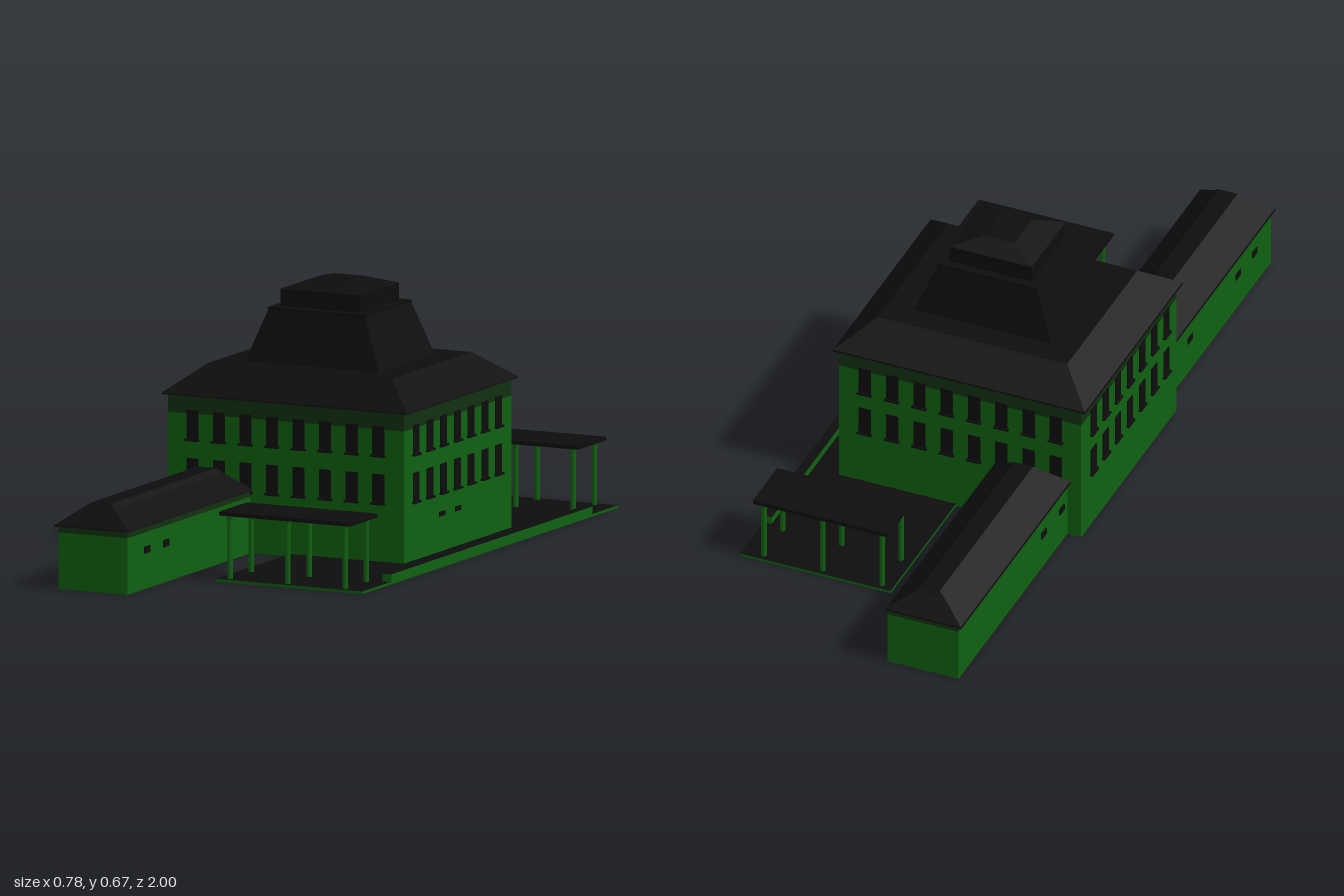
import * as THREE from 'three';

const green = new THREE.MeshStandardMaterial({ color: 0x0f6010, side: THREE.DoubleSide });
green.name = 'green wall';
const dark = new THREE.MeshStandardMaterial({ color: 0x0d0d0d });
dark.name = 'black roof';
const frieze = new THREE.MeshStandardMaterial({ color: 0x10300f, side: THREE.DoubleSide });
frieze.name = 'dark green frieze';

// Stack of rectangular sections [y, x0, x1, z0, z1], optionally closed at each end
function loft(sections, bottom = true, top = true) {
  const rings = sections.map(([y, x0, x1, z0, z1]) =>
    [[x0, y, z1], [x1, y, z1], [x1, y, z0], [x0, y, z0]]);
  const pos = [];
  const quad = (a, b, c, d) => pos.push(...a, ...b, ...c, ...a, ...c, ...d);
  for (let i = 0; i + 1 < rings.length; i++) {
    const lo = rings[i], hi = rings[i + 1];
    for (let k = 0; k < 4; k++) {
      const n = (k + 1) % 4;
      quad(lo[k], lo[n], hi[n], hi[k]);
    }
  }
  const [a, b, c, d] = rings[0];
  if (bottom) quad(d, c, b, a);
  if (top) quad(...rings[rings.length - 1]);
  const g = new THREE.BufferGeometry();
  g.setAttribute('position', new THREE.Float32BufferAttribute(pos, 3));
  g.computeVertexNormals();
  return g;
}

function add(parent, name, geometry, material, x = 0, y = 0, z = 0) {
  const m = new THREE.Mesh(geometry, material);
  m.name = name;
  m.position.set(x, y, z);
  parent.add(m);
  return m;
}

function box(parent, name, material, w, h, d, x, y, z) {
  return add(parent, name, new THREE.BoxGeometry(w, h, d), material, x, y, z);
}

// Centred section of the main block
const cx = -0.04;
const sec = (y, hx, hz) => [y, cx - hx, cx + hx, -hz, hz];

function mainBlock() {
  const g = new THREE.Group();
  g.name = 'mainBuilding';
  add(g, 'mainWalls', loft([sec(0, 0.333, 0.302), sec(0.345, 0.333, 0.302)], false, false), green);
  add(g, 'mainFrieze', loft([sec(0.345, 0.333, 0.302), sec(0.392, 0.333, 0.302)], false, false), frieze);
  add(g, 'mainRoof', loft([sec(0.39, 0.348, 0.312), sec(0.395, 0.346, 0.31), sec(0.463, 0.26, 0.223)]), dark);
  add(g, 'roofTower', loft([sec(0.46, 0.19, 0.157), sec(0.595, 0.137, 0.13), sec(0.602, 0.137, 0.13)]), dark);
  add(g, 'roofLantern', loft([sec(0.6, 0.113, 0.108), sec(0.647, 0.113, 0.108), sec(0.667, 0.042, 0.055)]), dark);

  // Two rows of windows with sills on all four sides
  for (const [y0, y1] of [[0.155, 0.231], [0.277, 0.354]]) {
    const h = y1 - y0, y = (y0 + y1) / 2;
    for (const s of [-1, 1]) {
      for (let i = 0; i < 8; i++) {
        const x = -0.304 + i * 0.075;
        box(g, 'window', dark, 0.033, h, 0.006, x, y, s * 0.302);
        box(g, 'windowSill', dark, 0.04, 0.005, 0.012, x, y0, s * 0.304);
      }
      for (let i = 0; i < 7; i++) {
        const z = (i - 3) * 0.077 + 0.005;
        box(g, 'window', dark, 0.006, h, 0.033, cx + s * 0.333, y, z);
        box(g, 'windowSill', dark, 0.012, 0.005, 0.04, cx + s * 0.335, y0, z);
      }
    }
  }
  // Small vents low on the platform side
  for (const z of [0.0, 0.09]) box(g, 'lowVent', dark, 0.006, 0.012, 0.03, cx + 0.333, 0.103, z);
  return g;
}

function wing(s) {
  const g = new THREE.Group();
  g.name = s > 0 ? 'frontWing' : 'rearWing';
  const span = (a, b) => (s > 0 ? [a, b] : [-b, -a]);
  const wall = [-0.335, -0.14, ...span(0.3, 0.993)];
  add(g, 'wingWalls', loft([[0, ...wall], [0.145, ...wall]], false, false), green);
  add(g, 'wingFrieze', loft([[0.145, ...wall], [0.163, ...wall]], false, false), frieze);
  add(g, 'wingRoof', loft([
    [0.16, -0.345, -0.135, ...span(0.3, 1)],
    [0.165, -0.343, -0.137, ...span(0.302, 0.998)],
    [0.207, -0.284, -0.196, ...span(0.342, 0.958)],
    [0.221, -0.263, -0.211, ...span(0.354, 0.946)],
  ]), dark);
  // Small windows on both long sides
  const inner = s > 0 ? [0.885, 0.78] : [-0.515, -0.62];
  const outer = s > 0 ? [0.885, 0.78, 0.475, 0.37] : [-0.34, -0.455];
  for (const z of inner) box(g, 'wingWindow', dark, 0.006, 0.018, 0.03, -0.14, 0.1, z);
  for (const z of outer) box(g, 'wingWindow', dark, 0.006, 0.018, 0.03, -0.335, 0.1, z);
  return g;
}

function canopy(s) {
  const g = new THREE.Group();
  g.name = s > 0 ? 'frontCanopy' : 'rearCanopy';
  box(g, 'canopyRoof', dark, 0.37, 0.01, 0.155, 0.165, 0.175, s * 0.64);
  const shaft = new THREE.CylinderGeometry(0.007, 0.007, 0.166, 10);
  const collar = new THREE.CylinderGeometry(0.01, 0.008, 0.012, 10);
  for (const x of [0.002, 0.165, 0.327]) {
    for (const z of [0.58, 0.7]) {
      add(g, 'post', shaft, green, x, 0.088, s * z);
      add(g, 'postCapital', collar, green, x, 0.164, s * z);
    }
  }
  return g;
}

// Slab with green sides and black top and bottom
function slab(parent, name, w, h, d, x, y, z) {
  const m = box(parent, name, green, w, h, d, x, y, z);
  m.material = [green, green, dark, dark, green, green];
}

export function createModel() {
  const model = new THREE.Group();
  model.name = 'stationBuilding';
  model.add(mainBlock());
  for (const s of [-1, 1]) model.add(wing(s), canopy(s));
  slab(model, 'platform', 0.414, 0.007, 1.436, 0.178, 0.0035, 0);
  slab(model, 'platformEdgeWall', 0.025, 0.021, 1.13, 0.3755, 0.0165, -0.003);
  return model;
}
